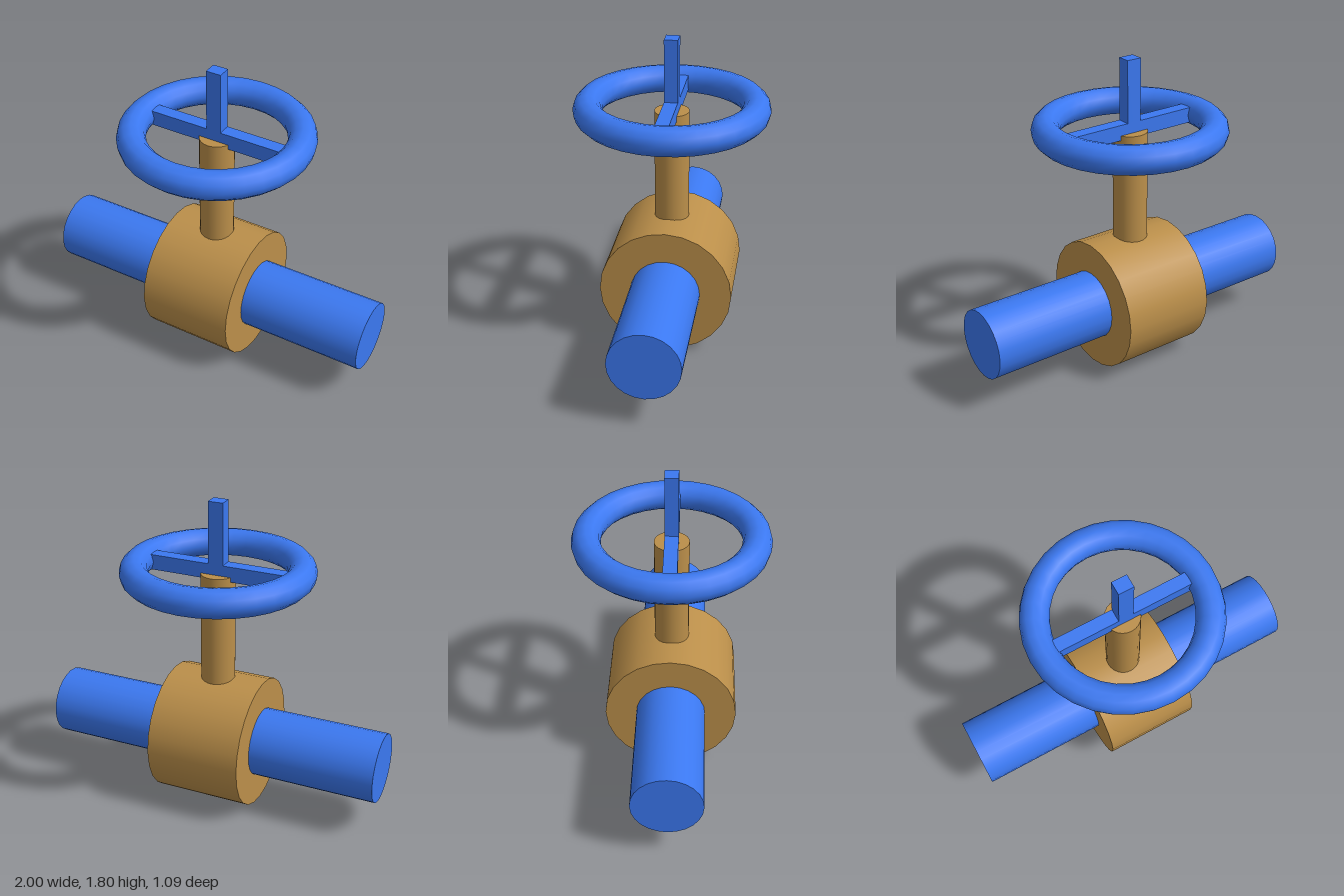
import * as THREE from 'three';

export function createModel() {
  const model = new THREE.Group();
  const blue = new THREE.MeshStandardMaterial({ color: 0x3b78f0 });
  const bronze = new THREE.MeshStandardMaterial({ color: 0xbb8f4a });
  const axisY = 0.378; // height of the pipe axis
  const wheelY = 1.402; // height of the handwheel

  function add(name, geometry, material, y) {
    const mesh = new THREE.Mesh(geometry, material);
    mesh.name = name;
    mesh.position.y = y;
    model.add(mesh);
    return mesh;
  }

  // Cylinder lying along x
  const along = (radius, length) =>
    new THREE.CylinderGeometry(radius, radius, length, 24).rotateZ(Math.PI / 2);

  // Pipe running through the valve body
  add('pipe', along(0.198, 2), blue, axisY + 0.002);
  add('valveBody', along(0.377, 0.55), bronze, axisY);

  // Stem rising from the body's centre to the wheel
  const stemTop = 1.385;
  add('stem', new THREE.CylinderGeometry(0.098, 0.098, stemTop - axisY, 24), bronze, (stemTop + axisY) / 2);

  // Handwheel rim, crossbar and upright bar
  add('handwheelRim', new THREE.TorusGeometry(0.465, 0.081, 12, 32).rotateX(Math.PI / 2), blue, wheelY);
  const bar = new THREE.BoxGeometry(0.795, 0.088, 0.076);
  add('crossbar', bar, blue, wheelY);
  add('uprightBar', bar, blue, wheelY + 0.001).rotation.z = Math.PI / 2;

  return model;
}
